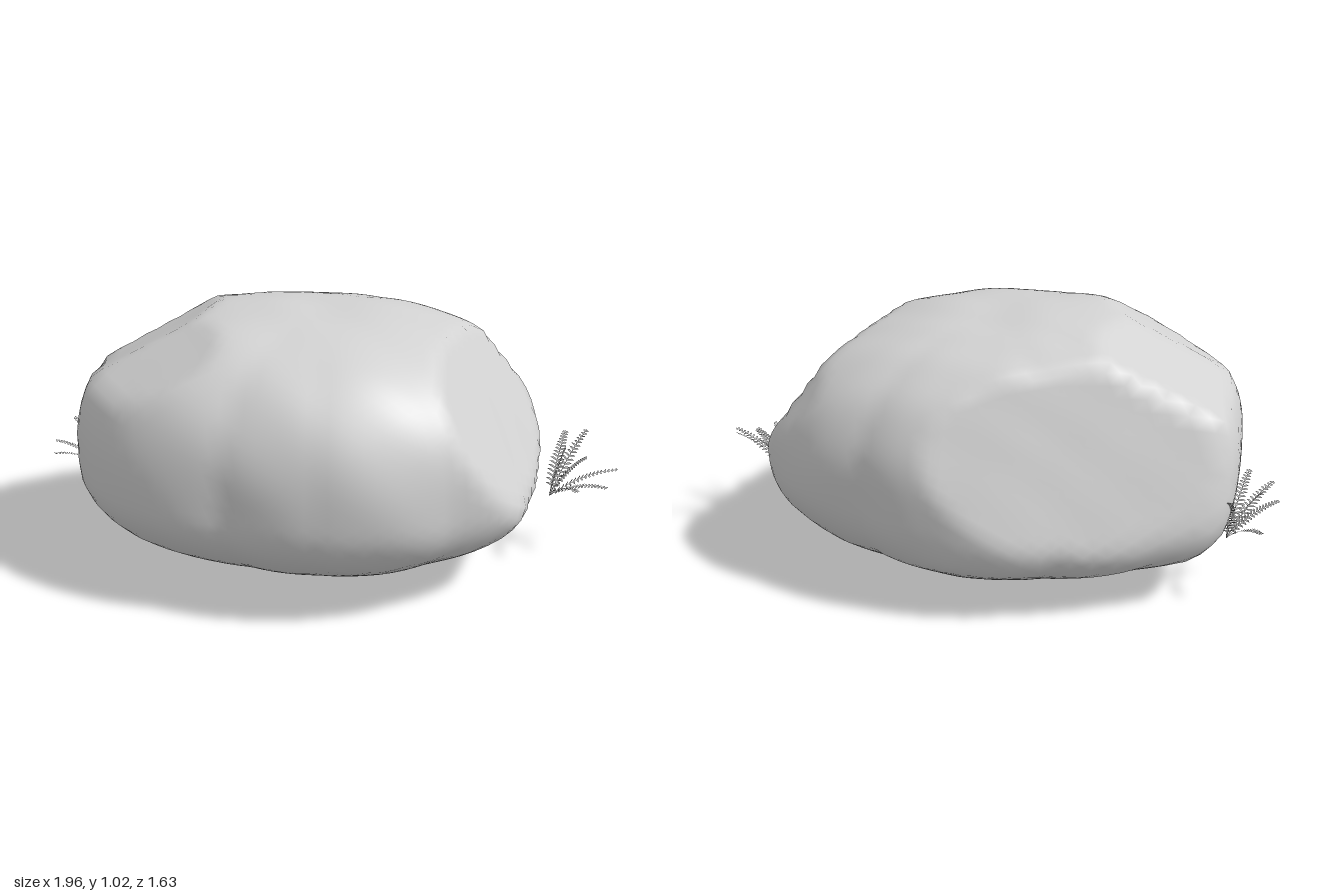
import * as THREE from 'three';
import { mergeVertices } from 'three/addons/utils/BufferGeometryUtils.js';

const stone = new THREE.MeshStandardMaterial({ color: 0xd2d2d2 });
stone.name = 'paleStone';
const fern = new THREE.MeshStandardMaterial({ color: 0xd2d2d2, side: THREE.DoubleSide });
fern.name = 'paleFern';

const CENTRE_Y = 0.42;

// widest outline of the boulder seen from above (x, z)
const outline = [
  [-0.61, -0.765], [-0.39, -0.755], [-0.02, -0.695], [0.27, -0.62], [0.43, -0.53], [0.54, -0.44],
  [0.63, -0.32], [0.78, -0.17], [0.83, -0.07], [0.875, 0.08], [0.875, 0.19], [0.79, 0.37],
  [0.68, 0.52], [0.56, 0.64], [0.4, 0.78], [0.24, 0.815], [0.08, 0.8], [-0.13, 0.775],
  [-0.4, 0.64], [-0.66, 0.4], [-0.8, 0.27], [-0.92, 0.08], [-0.96, -0.08], [-0.955, -0.28],
  [-0.82, -0.52], [-0.69, -0.71],
].map(([x, z]) => ({ a: Math.atan2(z, x), r: Math.hypot(x, z) })).sort((p, q) => p.a - q.a);

// flat faces broken off the boulder: normal and distance from the origin
const cuts = [
  [0.6, 0.52, 0.6, 0.895],
  [0.15, 0.36, -0.92, 0.755],
  [0.8, 0.6, -0.05, 1.035],
  [-0.49, 0.87, 0, 1.108],
  [-0.35, 0.866, -0.35, 1.09],
].map(([x, y, z, d]) => ({ n: new THREE.Vector3(x, y, z), d }));

function outlineRadius(angle) {
  const n = outline.length;
  let i = outline.findIndex((p) => p.a > angle);
  if (i < 0) i = 0;
  const p = outline[(i + n - 1) % n], q = outline[i];
  const turn = 2 * Math.PI;
  const span = (q.a - p.a + turn) % turn;
  return THREE.MathUtils.lerp(p.r, q.r, ((angle - p.a + turn) % turn) / span);
}

// surface point along a direction; also tells whether it is on the underside
function boulderPoint(dir) {
  const R = outlineRadius(Math.atan2(dir.z, dir.x));
  const flat = Math.hypot(dir.x, dir.z);
  const back = Math.max(0, -dir.z);
  const H = dir.y > 0 ? 0.595 - 0.04 * dir.x : 0.415;
  // squarer towards the upper left and the lower back
  const power = dir.y > 0 ? 2.5 + 0.4 * Math.max(0, -dir.x) : 2 + 0.8 * back * back;
  let r = Math.pow(Math.pow(flat / R, power) + Math.pow(Math.abs(dir.y) / H, power), -1 / power);
  // gentle weathering
  const bump = Math.sin(7 * dir.x + 3 * dir.y + 1) * Math.sin(6 * dir.z - 4 * dir.y)
    + 0.6 * Math.sin(13 * dir.x - 5 * dir.z) * Math.sin(11 * dir.y + 8 * dir.z + 2);
  r *= 1 + 0.007 * bump;
  for (const { n, d } of cuts) {
    const facing = n.dot(dir);
    if (facing > 0.05) r = Math.min(r, (d - n.y * CENTRE_Y) / facing * (1 + 0.003 * bump));
  }
  let under = false;
  if (dir.y < 0) {
    const rise = 0.21 - 0.05 * back;
    const below = (s) => CENTRE_Y + dir.y * s
      < 0.01 + rise * Math.pow(s * flat / R / 0.87, 2.6) + 0.003 * bump;
    if (below(r)) {
      let lo = 0, hi = r;
      for (let k = 0; k < 24; k++) {
        const mid = (lo + hi) / 2;
        if (below(mid)) hi = mid; else lo = mid;
      }
      r = lo;
      under = true;
    }
    if (CENTRE_Y + dir.y * r < 0.2) under = true;
  }
  const point = dir.clone().multiplyScalar(r);
  point.y = Math.max(0.003, point.y + CENTRE_Y);
  return { point, under };
}

function addBoulder(group) {
  const sphere = new THREE.IcosahedronGeometry(1, 19).getAttribute('position');
  const sides = { boulderBody: [], boulderUnderside: [] };
  const dir = new THREE.Vector3();
  for (let i = 0; i < sphere.count; i += 3) {
    const tri = [0, 1, 2].map((k) => boulderPoint(dir.fromBufferAttribute(sphere, i + k).normalize()));
    const list = tri.every((c) => c.under) ? sides.boulderUnderside : sides.boulderBody;
    tri.forEach((c) => list.push(...c.point.toArray()));
  }
  // separate meshes keep the edge of the underside sharp
  for (const [name, list] of Object.entries(sides)) {
    let geo = new THREE.BufferGeometry();
    geo.setAttribute('position', new THREE.Float32BufferAttribute(list, 3));
    geo = mergeVertices(geo, 1e-4);
    geo.computeVertexNormals();
    const mesh = new THREE.Mesh(geo, stone);
    mesh.name = name;
    group.add(mesh);
  }
}

// one fern: arching fronds, each a thin stem with paired leaflets
function makeFern(name, base, tips) {
  const root = new THREE.Vector3(...base);
  const list = [];
  const tri = (...pts) => pts.forEach((p) => list.push(p.x, p.y, p.z));
  const up = new THREE.Vector3(0, 1, 0);
  for (const t of tips) {
    const tip = new THREE.Vector3(...t);
    const middle = root.clone().lerp(tip, 0.5);
    middle.y += 0.05;
    const curve = new THREE.QuadraticBezierCurve3(root, middle, tip);
    const pairs = 18;
    for (let i = 0; i < pairs; i++) {
      const u = i / pairs;
      const p = curve.getPoint(u), q = curve.getPoint((i + 1) / pairs);
      const along = curve.getTangent(u);
      const side = along.clone().cross(up).normalize();
      const w = side.clone().multiplyScalar(0.0018);
      tri(p.clone().sub(w), p.clone().add(w), q.clone().add(w));
      tri(p.clone().sub(w), q.clone().add(w), q.clone().sub(w));
      if (i < 2) continue;
      const length = 0.042 * Math.min(1, 0.4 + u * 2) * (1.08 - u * 0.8);
      for (const s of [-1, 1]) {
        const end = p.clone().addScaledVector(side, s * length).addScaledVector(along, length * 0.4);
        const belly = p.clone().lerp(end, 0.55).addScaledVector(along, 0.008);
        tri(p, end, belly);
        tri(p, belly, p.clone().addScaledVector(along, 0.007));
      }
    }
  }
  const geo = new THREE.BufferGeometry();
  geo.setAttribute('position', new THREE.Float32BufferAttribute(list, 3));
  geo.computeVertexNormals();
  const mesh = new THREE.Mesh(geo, fern);
  mesh.name = name;
  return mesh;
}

export function createModel() {
  const group = new THREE.Group();
  group.name = 'boulderWithFerns';
  addBoulder(group);
  group.add(makeFern('frontFern', [0.77, 0.22, 0.47], [
    [0.72, 0.35, 0.7], [0.87, 0.33, 0.7], [0.96, 0.37, 0.65],
    [0.98, 0.45, 0.42], [0.91, 0.44, 0.37], [0.81, 0.44, 0.5], [0.88, 0.4, 0.55],
  ]));
  group.add(makeFern('backFern', [-0.74, 0.23, -0.62], [
    [-0.78, 0.34, -0.81], [-0.93, 0.38, -0.66], [-0.98, 0.39, -0.52],
    [-0.9, 0.43, -0.47], [-0.68, 0.45, -0.74], [-0.83, 0.45, -0.7],
  ]));
  return group;
}
